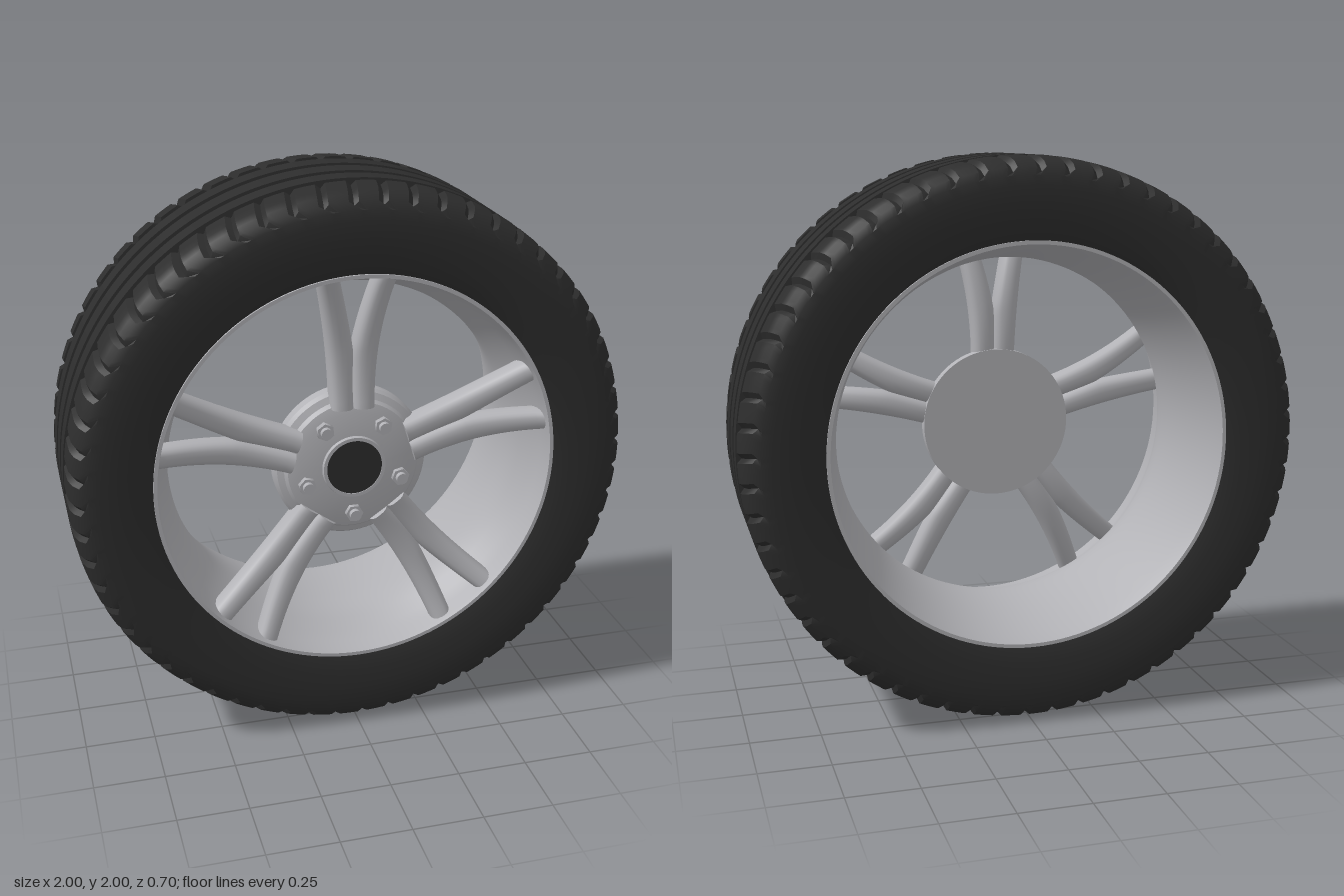
import * as THREE from 'three';
import { toCreasedNormals } from 'three/addons/utils/BufferGeometryUtils.js';

const rubber = new THREE.MeshStandardMaterial({ color: 0x2d2d2d });
rubber.name = 'black rubber';
const alloy = new THREE.MeshStandardMaterial({ color: 0xb2b2b6 });
alloy.name = 'silver alloy';

const AXLE = 1; // wheel centre height

function mesh(name, geometry, material) {
  const m = new THREE.Mesh(geometry, material);
  m.name = name;
  return m;
}

// Revolve [radius, z] points about the z axis
function revolve(points, segments) {
  const profile = points.map(([r, z]) => new THREE.Vector2(r, z));
  return new THREE.LatheGeometry(profile, segments).rotateX(Math.PI / 2);
}

// Cylinder lying along z, standing on z = base
function peg(radius, height, sides, base) {
  return new THREE.CylinderGeometry(radius, radius, height, sides)
    .rotateX(Math.PI / 2).translate(0, 0, base + height / 2);
}

// Tyre: sidewalls, round shoulders, four grooves round the tread, notched shoulder blocks
function makeTyre() {
  const blocks = 60, columns = 6;
  const side = [[0.705, 0.325], [0.73, 0.336], [0.78, 0.345], [0.84, 0.35], [0.9, 0.35], [0.935, 0.344],
    [0.962, 0.33], [0.982, 0.31], [0.994, 0.28], [0.998, 0.24], [1, 0.196]];
  const tread = [];
  for (const z of [-0.177, -0.062, 0.062, 0.177]) {
    tread.push([1, z - 0.019], [0.975, z - 0.016], [0.975, z + 0.016], [1, z + 0.019]);
  }
  const profile = [
    ...side.map(([r, z]) => [r, -z]),
    ...tread.slice(1, -1),
    ...side.slice().reverse(),
  ];
  const geo = revolve(profile, blocks * columns);
  const p = geo.attributes.position;
  for (let k = 0; k < p.count; k++) {
    const column = Math.floor(k / profile.length);
    const x = p.getX(k), y = p.getY(k), z = p.getZ(k);
    const r = Math.hypot(x, y), out = Math.abs(z) - 0.196;
    if (out < -0.001 || r < 0.955) continue;
    const cut = column % columns === 0 ? 0.016 : 0;
    const a = Math.atan2(y, x) + out * 0.2;
    p.setXY(k, (r - cut) * Math.cos(a), (r - cut) * Math.sin(a));
  }
  return toCreasedNormals(geo, 0.5);
}

// One arm of a forked spoke, pointing up; side is +1 or -1
function makeArm(side) {
  const stations = 18, around = 20, pos = [], index = [];
  const signedPow = (v, e) => Math.sign(v) * Math.abs(v) ** e;
  for (let i = 0; i <= stations; i++) {
    const r = THREE.MathUtils.lerp(0.215, 0.695, i / stations);
    const u = (r - 0.215) / 0.48;
    const inner = 0.062 * (Math.max(0, r - 0.42) / 0.275) ** 1.2 - 0.002;
    const outer = 0.08 + 0.06 * u * u;
    const front = 0.268 - 0.05 * u * (1 - u) + 0.05 * u * u;
    const mid = side * (inner + outer) / 2, hw = (outer - inner) / 2, hd = 0.05;
    for (let j = 0; j < around; j++) {
      const a = (j / around) * Math.PI * 2;
      pos.push(mid + hw * signedPow(Math.cos(a), 0.75), r, front - hd + hd * signedPow(Math.sin(a), 0.75));
    }
    if (i === 0 || i === stations) pos.push(mid, r, front - hd);
  }
  // The first ring is followed by its cap centre, so later rings start one further on
  const at = (i, j) => i * around + (j % around) + (i > 0 ? 1 : 0);
  const startCentre = around, endCentre = pos.length / 3 - 1;
  for (let j = 0; j < around; j++) {
    for (let i = 0; i < stations; i++) {
      index.push(at(i, j), at(i + 1, j), at(i, j + 1), at(i, j + 1), at(i + 1, j), at(i + 1, j + 1));
    }
    index.push(startCentre, at(0, j), at(0, j + 1), endCentre, at(stations, j + 1), at(stations, j));
  }
  const geo = new THREE.BufferGeometry();
  geo.setAttribute('position', new THREE.Float32BufferAttribute(pos, 3));
  geo.setIndex(index);
  return toCreasedNormals(geo, 0.8);
}

export function createModel() {
  const model = new THREE.Group();
  model.name = 'wheel';
  const wheel = new THREE.Group();
  wheel.name = 'wheelAssembly';
  wheel.position.y = AXLE;
  model.add(wheel);

  wheel.add(mesh('tyre', makeTyre(), rubber));

  // Rim barrel with a narrow throat and a lip at each end
  const barrel = [[0.718, 0.32], [0.718, 0.338], [0.705, 0.338], [0.7, 0.32], [0.695, 0.27], [0.68, 0.22],
    [0.655, 0.17], [0.638, 0.12], [0.632, 0.07], [0.634, 0.02], [0.642, -0.05], [0.655, -0.13],
    [0.672, -0.21], [0.688, -0.28], [0.7, -0.325], [0.705, -0.338], [0.718, -0.338], [0.718, -0.32]];
  wheel.add(mesh('rim', toCreasedNormals(revolve(barrel, 128), 0.7), alloy));

  // Hub disc, flat at the back and stepped at the front
  const hub = [[0, 0.16], [0.278, 0.16], [0.278, 0.2], [0.268, 0.215], [0.245, 0.225], [0.235, 0.24],
    [0.2, 0.25], [0.115, 0.256], [0.112, 0.268], [0.1, 0.268], [0.1, 0.25]];
  wheel.add(mesh('hub', toCreasedNormals(revolve(hub, 80), 0.5), alloy));
  wheel.add(mesh('centreCap', peg(0.1, 0.025, 48, 0.24), rubber));

  // Five forked spokes with a wheel nut between each pair
  const arms = [makeArm(1), makeArm(-1)];
  for (let i = 0; i < 5; i++) {
    const turn = (i * Math.PI * 2) / 5;
    const spoke = new THREE.Group();
    spoke.name = 'spoke';
    spoke.rotation.z = turn;
    spoke.add(mesh('leftArm', arms[0], alloy), mesh('rightArm', arms[1], alloy));

    const nut = new THREE.Group();
    nut.name = 'wheelNut';
    const a = turn - Math.PI / 2;
    nut.position.set(0.178 * Math.cos(a), 0.178 * Math.sin(a), 0.245);
    nut.rotation.z = a;
    nut.add(mesh('nutBody', peg(0.032, 0.026, 6, 0), alloy), mesh('stud', peg(0.02, 0.045, 16, 0), alloy));
    wheel.add(spoke, nut);
  }
  return model;
}
